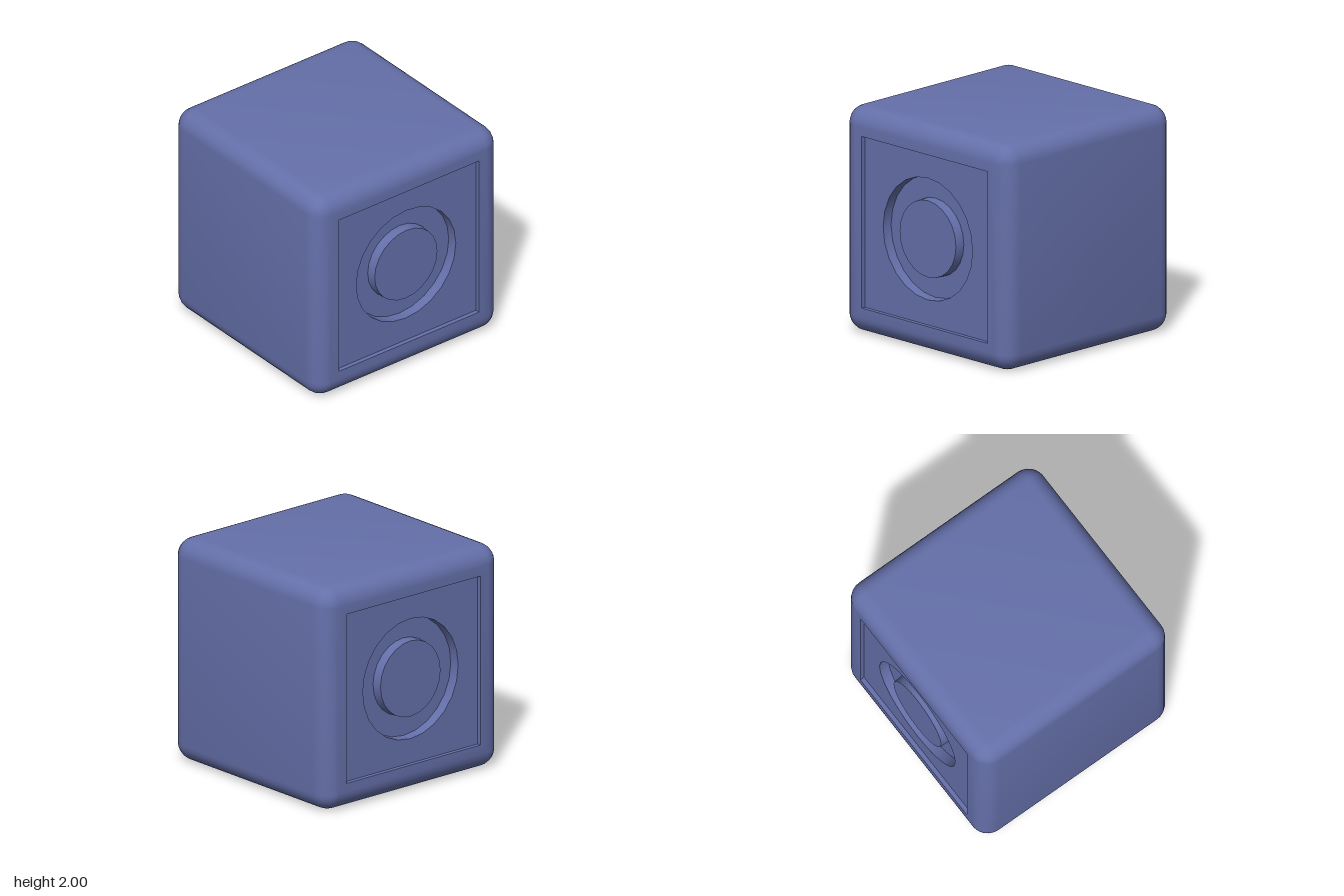
import * as THREE from 'three';
import { toCreasedNormals } from 'three/addons/utils/BufferGeometryUtils.js';

const CORE = 0.84, ROUND = 0.16, STEPS = 6;      // rounded edges of the cube
const PANEL = 0.76, PANEL_Z = 0.96;              // recessed square on front and back
const RING_OUT = 0.54, RING_IN = 0.34, GROOVE_Z = 0.87, SIDES = 24;

// one rounded-square cross-section, counterclockwise seen from +z
function section(half, radius, z) {
  const points = [];
  for (let corner = 0; corner < 4; corner++) {
    const mid = (corner + 0.5) * Math.PI / 2;
    const cx = Math.sign(Math.cos(mid)) * half, cy = Math.sign(Math.sin(mid)) * half;
    for (let i = 0; i <= STEPS; i++) {
      const a = (corner + i / STEPS) * Math.PI / 2;
      points.push([cx + radius * Math.cos(a), cy + radius * Math.sin(a), z]);
    }
  }
  return points;
}

// rounded shell, open at the two recessed panels
function shellGeometry() {
  const half = [];
  for (let i = 0; i <= STEPS; i++) {
    const a = i / STEPS * Math.PI / 2;
    half.push([CORE, i === STEPS ? 0 : ROUND * Math.cos(a), CORE + ROUND * Math.sin(a)]);
  }
  half.push([PANEL, 0, 1], [PANEL, 0, PANEL_Z]);
  const profile = [...half.map(([h, r, z]) => [h, r, -z]).reverse(), ...half];
  const rows = profile.map((p) => section(...p));
  const n = rows[0].length, index = [];
  for (let i = 0; i < rows.length - 1; i++) {
    for (let j = 0; j < n; j++) {
      const k = (j + 1) % n;
      const a = i * n + j, b = i * n + k, c = a + n, d = b + n;
      index.push(a, b, d, a, d, c);
    }
  }
  const geometry = new THREE.BufferGeometry();
  geometry.setAttribute('position', new THREE.Float32BufferAttribute(rows.flat(2), 3));
  geometry.setIndex(index);
  return toCreasedNormals(geometry, 0.7);
}

// square panel with a round opening for the ring groove
function panelGeometry() {
  const shape = new THREE.Shape([[-1, -1], [1, -1], [1, 1], [-1, 1]]
    .map(([x, y]) => new THREE.Vector2(x * PANEL, y * PANEL)));
  const hole = new THREE.Path();
  hole.absarc(0, 0, RING_OUT, 0, Math.PI * 2, true);
  shape.holes.push(hole);
  return new THREE.ShapeGeometry(shape, SIDES / 2).translate(0, 0, PANEL_Z);
}

// groove walls, floor and the button standing in its middle
function grooveGeometry() {
  const profile = [
    [RING_OUT, PANEL_Z], [RING_OUT - 0.005, GROOVE_Z],
    [RING_IN + 0.005, GROOVE_Z], [RING_IN, PANEL_Z], [0, PANEL_Z],
  ].map(([r, y]) => new THREE.Vector2(r, y));
  return toCreasedNormals(new THREE.LatheGeometry(profile, SIDES).rotateX(Math.PI / 2), 0.7);
}

export function createModel() {
  const model = new THREE.Group();
  model.name = 'roundedCube';
  const blue = new THREE.MeshStandardMaterial({ color: 0x6570aa });
  blue.name = 'slateBlue';

  const add = (parent, name, geometry) => {
    const mesh = new THREE.Mesh(geometry, blue);
    mesh.name = name;
    parent.add(mesh);
  };

  const body = new THREE.Group();
  body.name = 'body';
  body.position.y = 1;
  model.add(body);
  add(body, 'shell', shellGeometry());

  // the same face on the front and the back
  const panel = panelGeometry(), groove = grooveGeometry();
  ['frontFace', 'backFace'].forEach((name, i) => {
    const face = new THREE.Group();
    face.name = name;
    face.rotation.y = i * Math.PI;
    add(face, 'panel', panel);
    add(face, 'ringGroove', groove);
    body.add(face);
  });
  return model;
}
